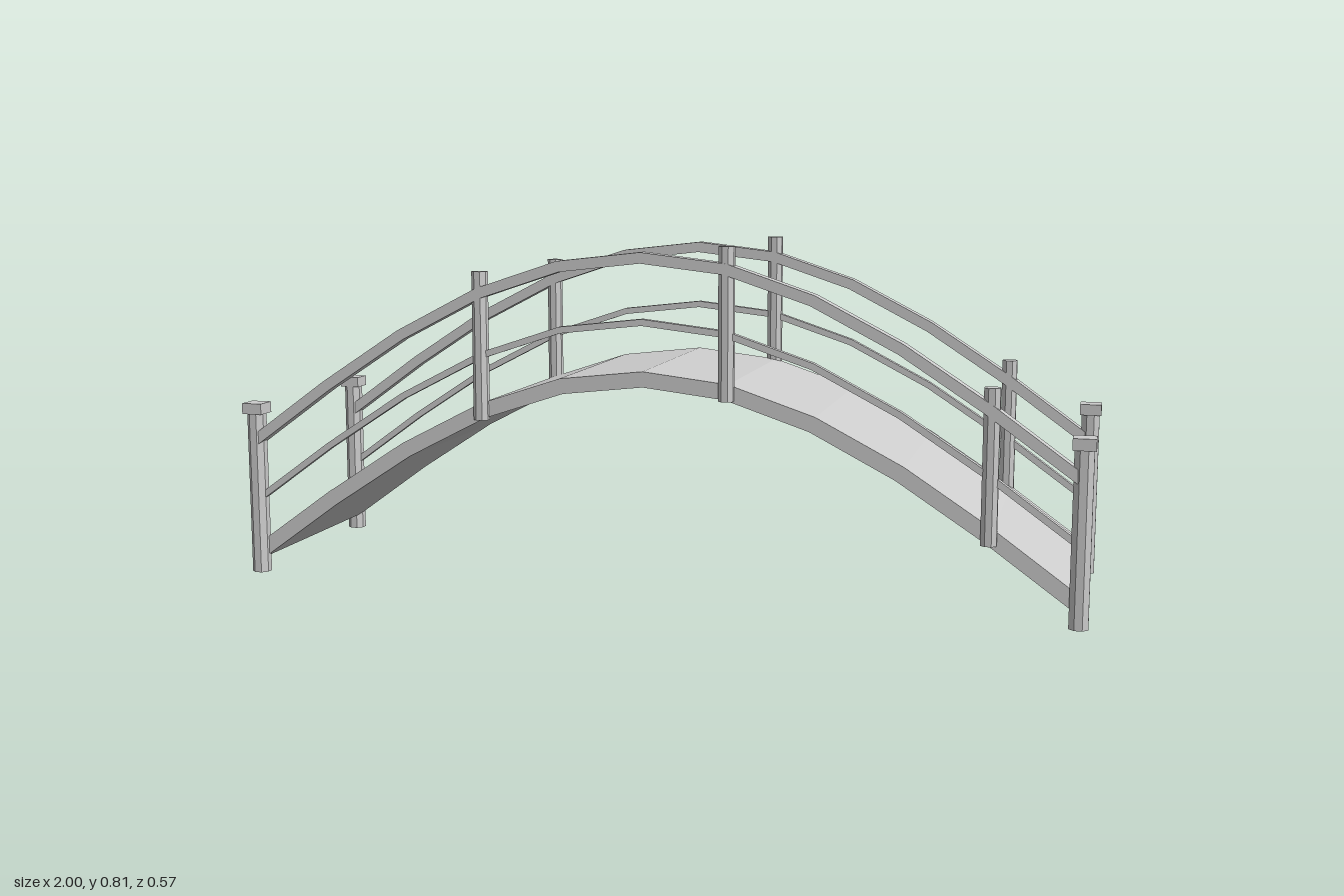
import * as THREE from 'three';

const HALF = 0.975;      // half span between the end posts
const SEGMENTS = 10;
const SIDE = 0.26;       // z of both railings
const archY = x => 0.05 + 0.456 * Math.cos((Math.PI / 2) * (x / HALF));
const pointX = i => -HALF + (2 * HALF * i) / SEGMENTS;

// Faceted band that follows the arch, raised by lift, mitred at every joint
function archBand(lift, thickness, width) {
  const pts = [];
  for (let i = 0; i <= SEGMENTS; i++) pts.push(new THREE.Vector2(pointX(i), archY(pointX(i)) + lift));
  const top = [], bottom = [];
  pts.forEach((p, i) => {
    const before = pts[Math.max(i - 1, 0)], after = pts[Math.min(i + 1, SEGMENTS)];
    const dir = after.clone().sub(before).normalize();
    const normal = new THREE.Vector2(-dir.y, dir.x).multiplyScalar(thickness / 2);
    top.push(p.clone().add(normal));
    bottom.push(p.clone().sub(normal));
  });
  const shape = new THREE.Shape([...bottom, ...top.reverse()]);
  const geometry = new THREE.ExtrudeGeometry(shape, { depth: width, bevelEnabled: false });
  return geometry.translate(0, 0, -width / 2);
}

// Upright octagonal post with flats facing the axes
function postGeometry(apothem, height) {
  const r = apothem / Math.cos(Math.PI / 8);
  return new THREE.CylinderGeometry(r, r, height, 8).rotateY(Math.PI / 8).translate(0, height / 2, 0);
}

export function createModel() {
  const bridge = new THREE.Group();
  bridge.name = 'archedFootbridge';
  const grey = new THREE.MeshStandardMaterial({ color: 0xcccccc, flatShading: true });
  grey.name = 'plainGrey';

  const add = (parent, name, geometry, x = 0, y = 0, z = 0) => {
    const mesh = new THREE.Mesh(geometry, grey);
    mesh.name = name;
    mesh.position.set(x, y, z);
    parent.add(mesh);
  };

  // Walking deck
  add(bridge, 'deck', archBand(0, 0.036, 2 * SIDE));

  const handrail = archBand(0.275, 0.025, 0.036);
  const midRail = archBand(0.13, 0.015, 0.018);
  const endPost = postGeometry(0.021, 0.395);
  const midPost = postGeometry(0.0175, 0.345);
  const cap = new THREE.BoxGeometry(0.05, 0.026, 0.05);

  for (const s of [-1, 1]) {
    const railing = new THREE.Group();
    railing.name = s > 0 ? 'frontRailing' : 'backRailing';
    railing.position.z = s * SIDE;
    add(railing, 'handrail', handrail);
    add(railing, 'middleRail', midRail);

    // Capped posts standing on the ground
    for (const x of [-HALF, HALF]) {
      add(railing, 'endPost', endPost, x);
      add(railing, 'endPostCap', cap, x, 0.404);
    }
    // Posts on every third joint of the deck
    for (let i = 3; i < SEGMENTS; i += 3) {
      add(railing, 'railPost', midPost, pointX(i), archY(pointX(i)) - 0.02);
    }
    bridge.add(railing);
  }
  return bridge;
}
